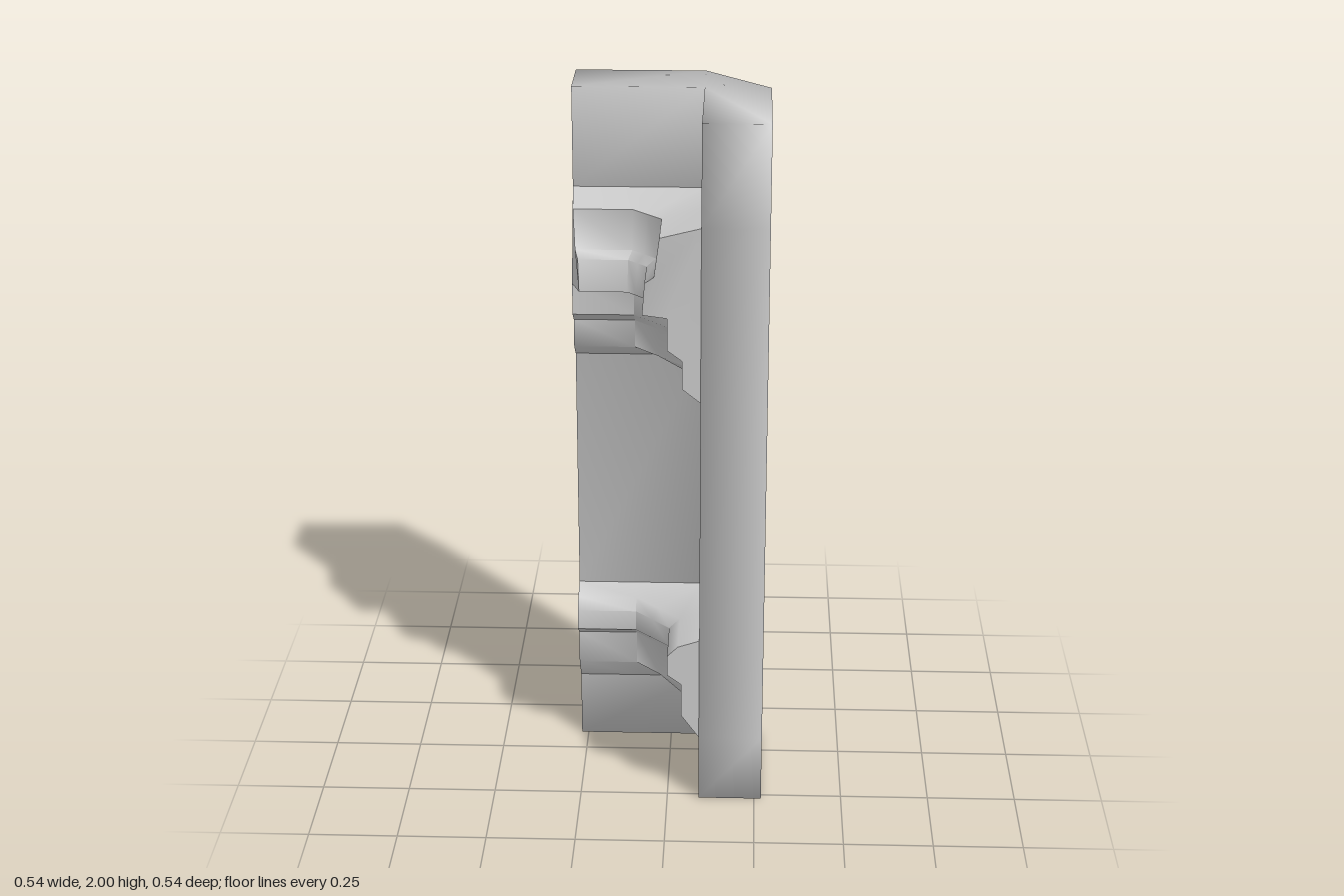
import * as THREE from 'three';
import { toCreasedNormals } from 'three/addons/utils/BufferGeometryUtils.js';

const V = (x, y) => new THREE.Vector2(x, y);

// Closed solid through equal rings of [x, y, z]; outline is the 2D section, counter-clockwise
function loft(rings, outline) {
  const n = outline.length, last = (rings.length - 1) * n;
  const index = [];
  for (let r = 0; r < rings.length - 1; r++) {
    for (let i = 0; i < n; i++) {
      const a = r * n + i, b = r * n + (i + 1) % n;
      index.push(a, b, b + n, a, b + n, a + n);
    }
  }
  for (const [a, b, c] of THREE.ShapeUtils.triangulateShape(outline, [])) {
    index.push(a, c, b, last + a, last + b, last + c);
  }
  const geometry = new THREE.BufferGeometry();
  geometry.setAttribute('position', new THREE.Float32BufferAttribute(rings.flat(2), 3));
  geometry.setIndex(index);
  geometry.computeVertexNormals();
  return geometry;
}

// Moulding with a [depth, height] profile, running along both inner wall faces
function moulding(profile) {
  const pull = d => Math.max(0, d - 0.09) * 0.35;
  const bend = d => -0.1 - Math.max(0, d - 0.12) * 0.4;
  const stations = [
    d => [-0.27 + pull(d), -0.09 + d],
    d => [bend(d), -0.09 + d],
    // the inner corner is bridged diagonally
    d => d === 0 ? [0.09, -0.09] : [(bend(d) + 0.09 - d) / 2, (-0.09 + d - bend(d)) / 2],
    d => [0.09 - d, -bend(d)],
    d => [0.09 - d, 0.27 - pull(d)],
  ];
  const rings = stations.map(at => profile.map(([d, y]) => {
    const [x, z] = at(d);
    return [x, y, z];
  }));
  return toCreasedNormals(loft(rings, profile.map(([d, y]) => V(-d, y))), 0.9);
}

export function createModel() {
  const group = new THREE.Group();
  const material = new THREE.MeshStandardMaterial({ color: 0xcccccc });
  const add = (name, geometry) => {
    const mesh = new THREE.Mesh(geometry, material);
    mesh.name = name;
    group.add(mesh);
  };

  // L-shaped wall with a chamfered outer corner, softly shaded all over
  const plan = [
    [-0.27, -0.09], [0.09, -0.09], [0.09, 0.27], [0.27, 0.27],
    [0.27, -0.09], [0.09, -0.27], [-0.27, -0.27],
  ];
  const rows = [0, 0.2, 0.5, 1.23, 1.72, 2];
  add('cornerWall', loft(
    rows.map(y => plan.map(([x, z]) => [x, y, z])),
    plan.map(([x, z]) => V(x, -z)),
  ));

  // Upper cornice and lower skirting ledge, listed from top to bottom
  add('upperMoulding', moulding([
    [0, 1.72], [0.11, 1.69], [0.125, 1.58], [0.15, 1.56], [0.157, 1.47],
    [0.09, 1.47], [0.09, 1.38], [0.05, 1.35], [0.05, 1.27], [0, 1.23],
  ]));
  add('lowerMoulding', moulding([
    [0, 0.51], [0.06, 0.49], [0.09, 0.46], [0.09, 0.4],
    [0.05, 0.37], [0.05, 0.27], [0, 0.2],
  ]));

  return group;
}
